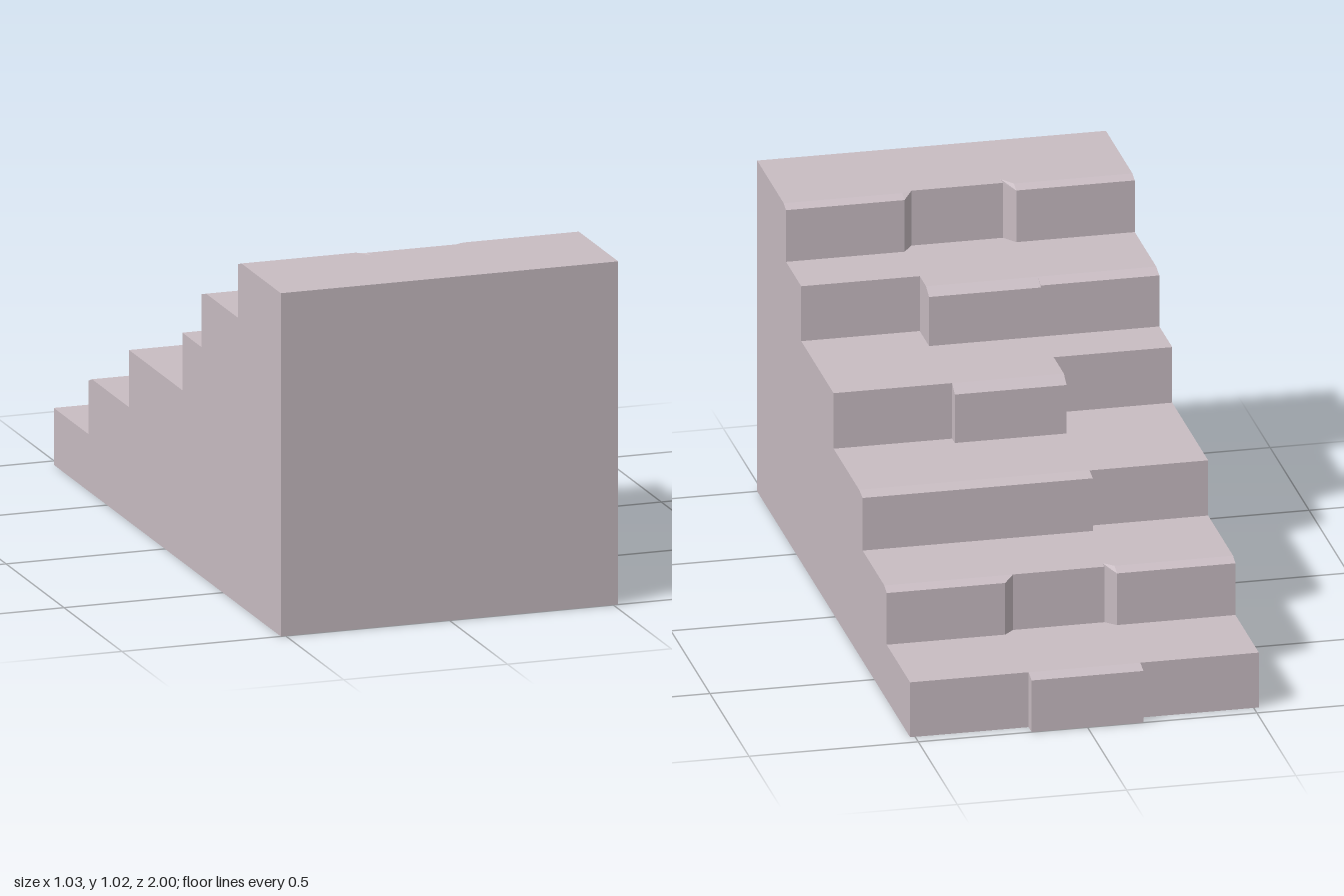
import * as THREE from 'three';

// Worn stone staircase: one z/y step profile lofted across columns in x.
const COLUMNS = [-0.515, -0.165, -0.165, -0.135, 0.135, 0.165, 0.165, 0.515];
const BASE = 0.005, FRONT = 1;

// Per step, lowest first: tread height, nosing z and worn drop for right / middle / left blocks
const STEPS = [
  { top: 0.175, z: [-0.96, -1.0, -0.96], drop: [0, 0.01, 0], bevel: 0.04 },
  { top: 0.347, z: [-0.66, -0.63, -0.66], drop: [0.012, 0, 0.012], bevel: 0.03, chamfer: true },
  { top: 0.518, z: [-0.31, -0.352, -0.352], drop: [0, 0.008, 0.008], bevel: 0.045 },
  { top: 0.69, z: [0.15, -0.015, 0.02], drop: [0, 0.022, 0], bevel: 0.035 },
  { top: 0.86, z: [0.315, 0.315, 0.435], drop: [0.012, 0.018, 0], bevel: 0.04 },
  { top: 1.03, z: [0.63, 0.672, 0.63], drop: [0.01, 0, 0.01], bevel: 0.03, chamfer: true },
];

// Profile of the whole flight at one column, as Vector2(z, y)
function section(column) {
  const points = [new THREE.Vector2(FRONT, BASE)];
  let y = BASE;
  for (const { top, z, drop, bevel, chamfer } of STEPS) {
    const inset = chamfer ? 1 : 0; // a chamfered block reaches its depth one column later
    const block = column < 2 + inset ? 0 : column > 5 - inset ? 2 : 1;
    points.push(
      new THREE.Vector2(z[block], y),
      new THREE.Vector2(z[block], top - drop[block]),
      new THREE.Vector2(z[block] + bevel, top),
    );
    y = top;
  }
  points.push(new THREE.Vector2(FRONT, y));
  return points;
}

function stairGeometry() {
  const positions = [];
  const triangle = (a, b, c) => {
    if (new THREE.Triangle(a, b, c).getArea() < 1e-7) return;
    for (const p of [a, b, c]) positions.push(p.x, p.y, p.z);
  };
  const rings = COLUMNS.map((x, i) => section(i).map((p) => new THREE.Vector3(x, p.y, p.x)));

  // Treads, risers, underside and tall front wall
  for (let i = 0; i < rings.length - 1; i++) {
    const count = rings[i].length;
    for (let j = 0; j < count; j++) {
      const k = (j + 1) % count;
      const a = rings[i][j], b = rings[i][k], c = rings[i + 1][k], d = rings[i + 1][j];
      triangle(a, b, c);
      triangle(a, c, d);
    }
  }

  // Stepped side walls, turned to face outwards
  for (const i of [0, rings.length - 1]) {
    const ring = rings[i];
    const normal = new THREE.Vector3();
    for (const [a, b, c] of THREE.ShapeUtils.triangulateShape(section(i), [])) {
      THREE.Triangle.getNormal(ring[a], ring[b], ring[c], normal);
      if (normal.x * COLUMNS[i] > 0) triangle(ring[a], ring[b], ring[c]);
      else triangle(ring[a], ring[c], ring[b]);
    }
  }

  const geometry = new THREE.BufferGeometry();
  geometry.setAttribute('position', new THREE.Float32BufferAttribute(positions, 3));
  geometry.computeVertexNormals();
  return geometry;
}

export function createModel() {
  const group = new THREE.Group();
  group.name = 'staircase';
  const stone = new THREE.MeshStandardMaterial({ color: 0xc8bcc2, flatShading: true });
  const stairs = new THREE.Mesh(stairGeometry(), stone);
  stairs.name = 'stoneSteps';
  group.add(stairs);
  return group;
}
